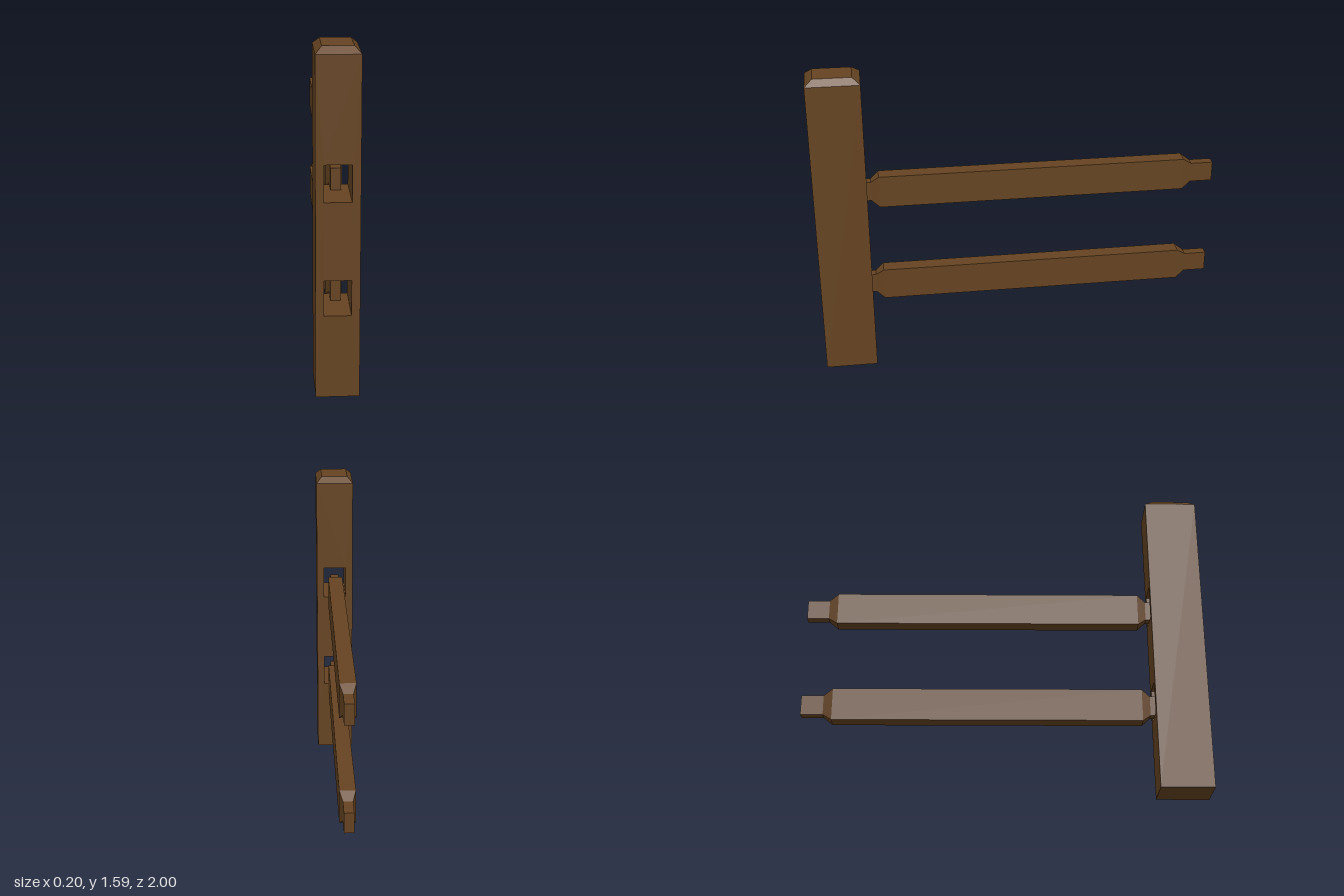
import * as THREE from 'three';

const wood = new THREE.MeshStandardMaterial({ color: 0x654321, flatShading: true });

function add(parent, name, geometry) {
  geometry.computeVertexNormals();
  const mesh = new THREE.Mesh(geometry, wood);
  mesh.name = name;
  parent.add(mesh);
  return mesh;
}

// Rectangle outline, given its corners
function rect(PathType, x0, y0, x1, y1) {
  return new PathType([[x0, y0], [x1, y0], [x1, y1], [x0, y1]].map(p => new THREE.Vector2(...p)));
}

// Bar along z: [z, half width, half height] at each cross-section
const railSections = [
  [-1, 0.023, 0.05], [-0.89, 0.023, 0.05], [-0.845, 0.038, 0.082],
  [0.68, 0.038, 0.082], [0.72, 0.023, 0.05], [0.83, 0.023, 0.05],
];

function railGeometry() {
  const n = railSections.length - 1;
  const g = new THREE.BoxGeometry(2, 2, n, 1, 1, n);
  const p = g.attributes.position;
  for (let i = 0; i < p.count; i++) {
    const [z, w, h] = railSections[Math.round(p.getZ(i) + n / 2)];
    p.setXYZ(i, p.getX(i) * w, p.getY(i) * h, z);
  }
  return g.toNonIndexed();
}

export function createModel() {
  const model = new THREE.Group();
  model.name = 'fencePostWithRails';
  const halfW = 0.098, depth = 0.26, shoulder = 1.555, top = 1.585;

  // Post with two mortises cut right through
  const outline = rect(THREE.Shape, -halfW, 0, halfW, shoulder);
  for (const [y0, y1] of [[0.39, 0.555], [0.913, 1.08]])
    outline.holes.push(rect(THREE.Path, -0.06, y0, 0.06, y1));
  const post = add(model, 'post', new THREE.ExtrudeGeometry(outline, { depth, bevelEnabled: false }));
  post.position.z = 1 - depth;

  // Chamfered post top
  const capH = top - shoulder;
  const cap = new THREE.BoxGeometry(halfW * 2, capH, depth);
  const p = cap.attributes.position;
  for (let i = 0; i < p.count; i++)
    if (p.getY(i) > 0) p.setXYZ(i, p.getX(i) * 0.7, p.getY(i), p.getZ(i) * 0.71);
  add(model, 'postCap', cap.toNonIndexed()).position.set(0, shoulder + capH / 2, 1 - depth / 2);

  // Rails with tapered tenons at both ends
  add(model, 'lowerRail', railGeometry()).position.y = 0.442;
  add(model, 'upperRail', railGeometry()).position.y = 0.965;
  return model;
}
